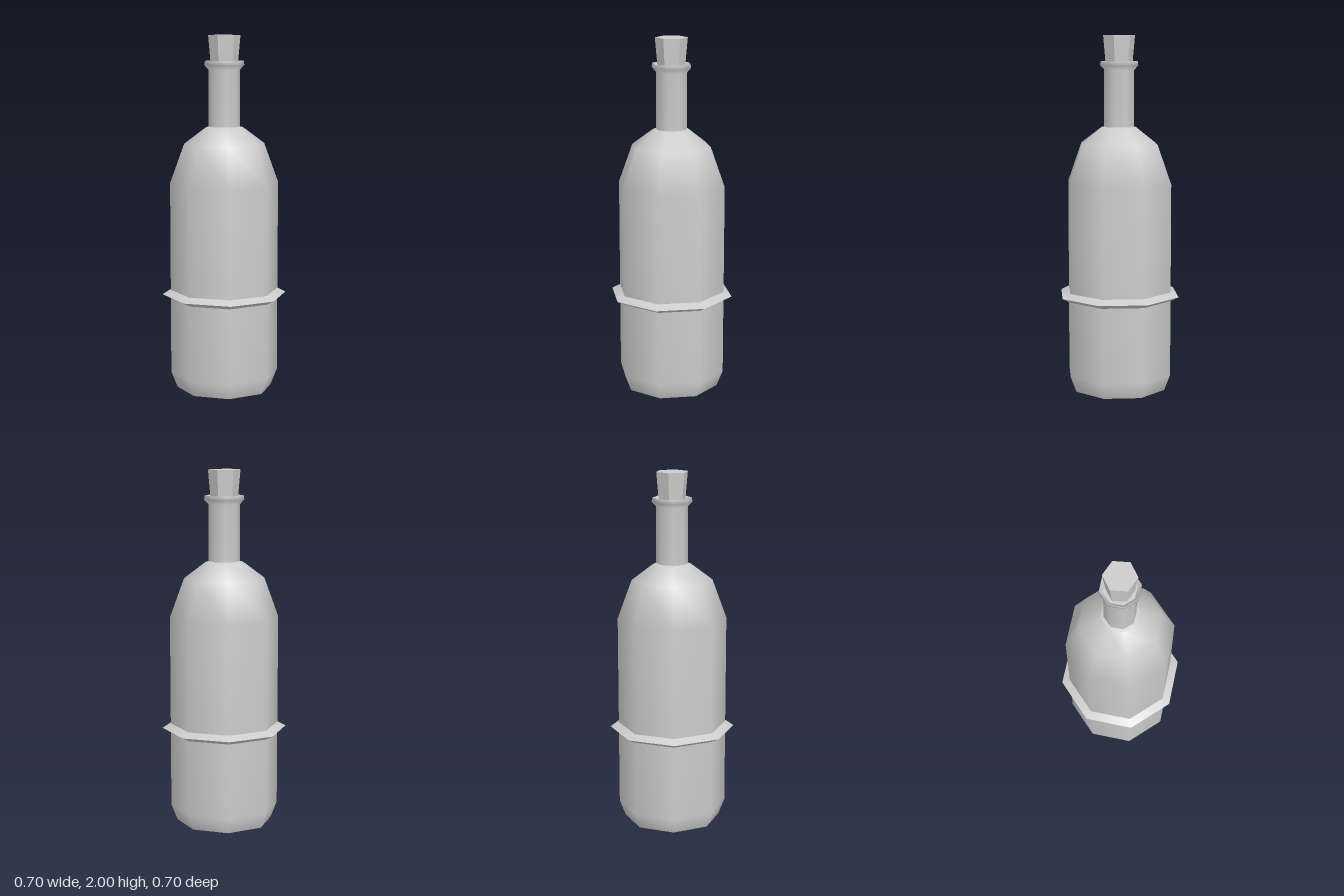
import * as THREE from 'three';

export function createModel() {
  const group = new THREE.Group();
  group.name = 'bottle';
  const grey = new THREE.MeshStandardMaterial({ color: 0xcccccc });
  grey.name = 'light grey';

  const add = (name, geometry) => {
    const mesh = new THREE.Mesh(geometry, grey);
    mesh.name = name;
    group.add(mesh);
    return mesh;
  };
  // Eight-sided turned surface; separate pieces keep a hard edge between them
  const turned = (name, ...profile) =>
    add(name, new THREE.LatheGeometry(profile.map(([r, y]) => new THREE.Vector2(r, y)), 8));

  // Body
  turned('base', [0, 0], [0.27, 0]);
  turned('body', [0.27, 0], [0.305, 0.09], [0.305, 1.18], [0.225, 1.4], [0.105, 1.49]);
  turned('shoulderLedge', [0.105, 1.49], [0.088, 1.495]);

  // Raised band around the body
  turned('bandUnderside', [0.305, 0.52], [0.352, 0.545]);
  turned('bandTop', [0.352, 0.545], [0.305, 0.57]);

  // Neck with flared lip and shallow mouth
  turned('neck', [0.088, 1.49], [0.088, 1.81], [0.112, 1.835], [0.108, 1.858]);
  turned('mouth', [0.108, 1.858], [0.09, 1.835]);
  turned('mouthFloor', [0.09, 1.835], [0, 1.835]);

  // Six-sided tapered stopper
  const stopper = new THREE.CylinderGeometry(0.09, 0.074, 0.18, 6, 1, false, Math.PI / 2).toNonIndexed();
  stopper.computeVertexNormals();
  add('stopper', stopper).position.y = 1.91;

  return group;
}
